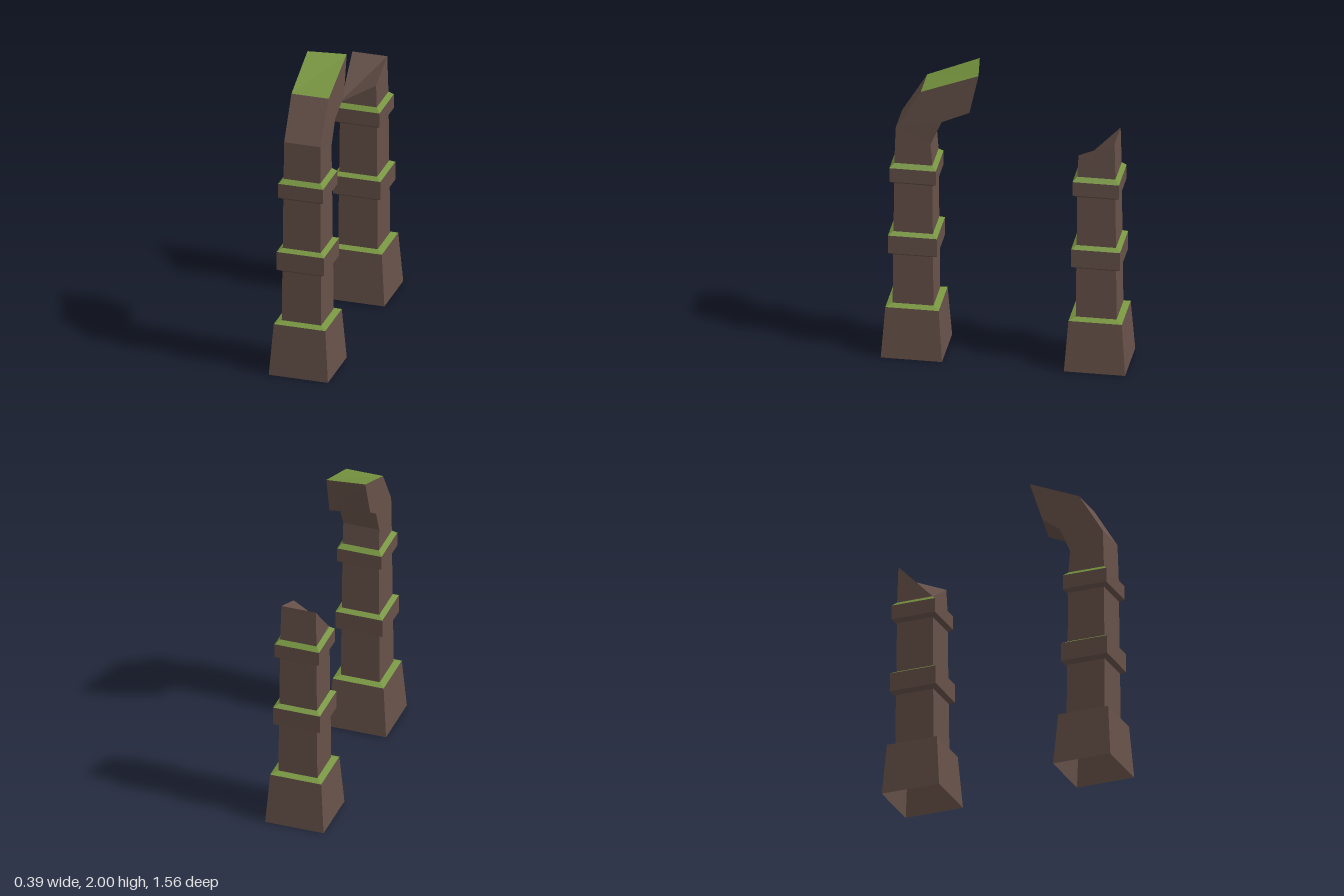
import * as THREE from 'three';

const brown = new THREE.MeshStandardMaterial({ color: 0x665149, side: THREE.DoubleSide });
brown.name = 'brownStone';
const green = new THREE.MeshStandardMaterial({ color: 0x76943f, side: THREE.DoubleSide });
green.name = 'mossGreen';

// Flat-shaded mesh from four-cornered faces
function quadMesh(name, quads, material) {
  const pos = [];
  for (const [a, b, c, d] of quads) pos.push(...a, ...b, ...c, ...a, ...c, ...d);
  const geo = new THREE.BufferGeometry();
  geo.setAttribute('position', new THREE.Float32BufferAttribute(pos, 3));
  geo.computeVertexNormals();
  const mesh = new THREE.Mesh(geo, material);
  mesh.name = name;
  return mesh;
}

// Corners run front right, front left, back left, back right (model's own sides)
const square = (h, y) => [[-h, y, h], [h, y, h], [h, y, -h], [-h, y, -h]];

// Side faces between two four-cornered rings
const band = (lo, hi) => lo.map((p, i) => [p, lo[(i + 1) % 4], hi[(i + 1) % 4], hi[i]]);

// Side faces through a [half width, y] profile
function loft(name, profile, material) {
  const rings = profile.map(([h, y]) => square(h, y));
  const quads = [];
  for (let i = 1; i < rings.length; i++) quads.push(...band(rings[i - 1], rings[i]));
  return quadMesh(name, quads, material);
}

// Shared lower column: tapered plinth, shafts, collars and mossy ledges
function column(name, z) {
  const g = new THREE.Group();
  g.name = name;
  g.position.z = z;
  g.add(
    loft('plinth', [[0.195, 0], [0.17, 0.345]], brown),
    loft('plinthMoss', [[0.17, 0.345], [0.13, 0.36]], green),
    loft('lowerShaft', [[0.13, 0.36], [0.127, 0.7]], brown),
    loft('lowerCollar', [[0.127, 0.7], [0.156, 0.72], [0.156, 0.843]], brown),
    loft('lowerCollarMoss', [[0.156, 0.843], [0.125, 0.862]], green),
    loft('upperShaft', [[0.125, 0.862], [0.122, 1.2]], brown),
    loft('upperCollar', [[0.122, 1.2], [0.148, 1.22], [0.148, 1.315]], brown),
    loft('upperCollarMoss', [[0.148, 1.315], [0.121, 1.342]], green),
  );
  return g;
}

export function createModel() {
  const root = new THREE.Group();
  root.name = 'ruinedArch';

  // Front column with the surviving piece of arch, bending backwards
  const cz = 0.583;
  const front = column('archColumn', cz);
  const section = (h, zo, yo, zi, yi) => [
    [-h, yo, zo - cz], [h, yo, zo - cz], [h, yi, zi - cz], [-h, yi, zi - cz],
  ];
  const rings = [
    square(0.121, 1.342),
    section(0.12, 0.695, 1.592, 0.473, 1.49),
    section(0.123, 0.535, 1.857, 0.402, 1.655),
    section(0.124, 0.167, 2, 0.225, 1.735),
  ];
  // Uneven broken end
  rings[3][0][2] = 0.2 - cz;
  rings[3][3][2] = 0.29 - cz;
  const tip = band(rings[2], rings[3]);
  front.add(
    quadMesh('archStone',
      [...band(rings[0], rings[1]), ...band(rings[1], rings[2]), ...tip.slice(1), rings[3]], brown),
    quadMesh('archMoss', [tip[0]], green),
  );

  // Back column with a snapped-off stub
  const back = column('brokenColumn', -cz);
  const top = square(0.115, 1.59);
  top[0][1] = 1.35;
  top[1][1] = 1.49;
  back.add(quadMesh('brokenStub', [...band(square(0.121, 1.342), top), top], brown));

  root.add(front, back);
  return root;
}
